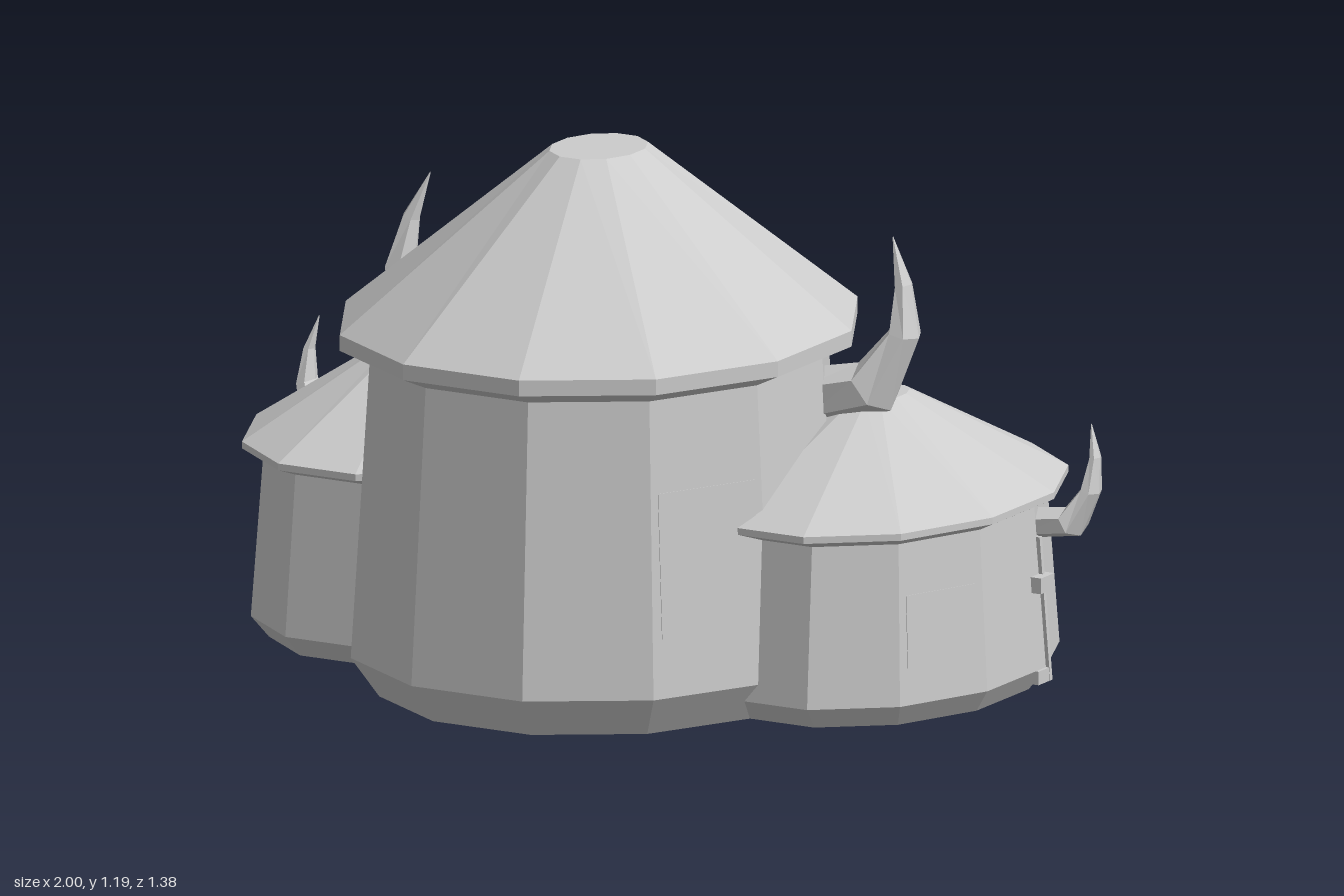
import * as THREE from 'three';

const stone = new THREE.MeshStandardMaterial({ color: 0xcccccc, flatShading: true, side: THREE.DoubleSide });
stone.name = 'plain grey';

function part(name, geometry, x = 0, y = 0, z = 0) {
  const m = new THREE.Mesh(geometry, stone);
  m.name = name;
  m.position.set(x, y, z);
  return m;
}
const box = (name, w, h, d, x, y, z) => part(name, new THREE.BoxGeometry(w, h, d), x, y, z);

// Turned shape with flat sides; radii are measured to the flat of each side.
function turned(name, profile, sides = 12) {
  const k = 1 / Math.cos(Math.PI / sides);
  const pts = profile.map(([r, y]) => new THREE.Vector2(r * k, y));
  return part(name, new THREE.LatheGeometry(pts, sides, Math.PI / sides));
}

// Oval hut, open below: tapered wall on a chamfered base, and a wide conical roof.
function hut(name, x, z, squash, wall, roof) {
  const g = new THREE.Group();
  g.name = name;
  g.position.set(x, 0, z);
  g.scale.x = squash;
  const top = turned('roof', roof);
  // The flat tip is a narrower oval than the eaves
  const p = top.geometry.attributes.position, peak = roof[roof.length - 1][1];
  for (let i = 0; i < p.count; i++) if (p.getY(i) > peak - 0.001) p.setX(i, p.getX(i) * 0.87);
  g.add(turned('wall', wall), top);
  return g;
}

// Thin panel lying on the sloped wall facet at the given angle.
function wallPanel(w, h, apothem, y, angle, slope) {
  const p = box('wallPanel', w, h, 0.01, Math.sin(angle) * apothem, y, Math.cos(angle) * apothem);
  p.rotation.set(-slope, angle, 0, 'YXZ');
  return p;
}

// Horn lofted through rings [x, y, z, radius in plane, radius along z], ending in a point.
function horn(rings, sides = 6) {
  const pos = [], idx = [];
  rings.forEach(([x, y, z, r, rz], i) => {
    const a = rings[Math.max(i - 1, 0)], b = rings[Math.min(i + 1, rings.length - 1)];
    const t = Math.atan2(b[1] - a[1], b[0] - a[0]);
    for (let j = 0; j < sides; j++) {
      const q = (j / sides) * Math.PI * 2;
      pos.push(x - Math.sin(t) * Math.cos(q) * r, y + Math.cos(t) * Math.cos(q) * r, z + Math.sin(q) * rz);
    }
  });
  for (let i = 0; i < rings.length - 1; i++) {
    for (let j = 0; j < sides; j++) {
      const a = i * sides + j, b = i * sides + ((j + 1) % sides);
      idx.push(a, b, a + sides, b, b + sides, a + sides);
    }
  }
  const g = new THREE.BufferGeometry();
  g.setAttribute('position', new THREE.Float32BufferAttribute(pos, 3));
  g.setIndex(idx);
  g.computeVertexNormals();
  return g;
}

export function createModel() {
  const model = new THREE.Group();
  model.name = 'hutCluster';
  const cx = 0.025, sideX = 0.56, sideZ = -0.185;

  // Main hut
  const main = hut('mainHut', cx, 0.1, 0.915,
    [[0.5, 0], [0.565, 0.09], [0.522, 0.745]],
    [[0.522, 0.745], [0.59, 0.775], [0.59, 0.81], [0.122, 1.187], [0, 1.187]]);
  main.add(wallPanel(0.25, 0.32, 0.543, 0.38, Math.PI / 3, 0.065));
  model.add(main);

  const bigHorn = horn([
    [0.44, 0.645, -0.1, 0.065, 0.08], [0.57, 0.68, -0.106, 0.063, 0.078],
    [0.63, 0.8, -0.132, 0.036, 0.044], [0.615, 0.9, -0.152, 0.02, 0.024], [0.578, 1.0, -0.17, 0.001, 0.001]]);
  const smallHorn = horn([
    [0.28, 0.355, -0.17, 0.033, 0.06], [0.385, 0.37, -0.172, 0.035, 0.058],
    [0.42, 0.44, -0.188, 0.021, 0.034], [0.422, 0.51, -0.202, 0.012, 0.018], [0.405, 0.58, -0.215, 0.001, 0.001]]);

  for (const s of [-1, 1]) {
    const mainHorn = part('mainHorn', bigHorn, cx);
    mainHorn.scale.x = s;
    model.add(mainHorn);

    // Side hut
    const side = hut('sideHut', s * sideX, sideZ, 0.735,
      [[0.42, 0], [0.467, 0.05], [0.435, 0.405]],
      [[0.435, 0.405], [0.49, 0.425], [0.49, 0.44], [0.085, 0.645], [0, 0.645]]);
    if (s > 0) side.add(wallPanel(0.2, 0.16, 0.451, 0.21, Math.PI / 3, 0.09));
    model.add(side);

    // Horns on both flanks; the inner one is turned towards the doorway
    for (const f of [-1, 1]) {
      const sideHorn = part('sideHorn', smallHorn, s * sideX, 0, sideZ);
      sideHorn.scale.x = f;
      if (f !== s) sideHorn.rotation.y = f * 0.2;
      model.add(sideHorn);
    }

    // Post hanging under the outer horn
    const post = box('hornPost', 0.012, 0.32, 0.01, s * 0.897, 0.18, -0.312);
    post.rotation.set(0.04, 0, s * 0.06);
    model.add(post,
      box('postClasp', 0.03, 0.035, 0.058, s * 0.9, 0.24, -0.298),
      box('postFoot', 0.035, 0.03, 0.05, s * 0.893, 0.035, -0.292));

    // Shutters on the back of the side hut
    for (const x of [0.47, 0.65]) model.add(box('shutter', 0.1, 0.13, 0.045, s * x, 0.235, -0.617));

    // Sloping rails beside the doorway
    const rail = box('doorRail', 0.04, 0.05, 0.335, cx - 0.03 + s * 0.19, 0.156, -0.555);
    rail.rotation.x = -0.764;
    model.add(rail);
  }

  // Arched door with a raised inner panel
  const doorShape = (w, h, c) => new THREE.Shape([[-w, 0], [w, 0], [w, h - c], [w - c, h], [c - w, h], [-w, h - c]]
    .map(([x, y]) => new THREE.Vector2(x, y)));
  const slab = (w, h, c, d) => new THREE.ExtrudeGeometry(doorShape(w, h, c), { depth: d, bevelEnabled: false });
  model.add(part('doorFrame', slab(0.16, 0.44, 0.08, 0.08), cx, 0, -0.5),
    part('doorPanel', slab(0.12, 0.38, 0.06, 0.03), cx, 0.02, -0.515),
    box('doorHandle', 0.03, 0.04, 0.02, 0.07, 0.21, -0.525),
    box('doorStep', 0.41, 0.035, 0.17, 0.04, 0.03, -0.515));

  // Round sign with a raised cross
  const sign = part('signDisc', new THREE.CylinderGeometry(0.183, 0.183, 0.05, 12), cx, 0.598, -0.48);
  sign.rotation.set(Math.PI / 2, Math.PI / 12, 0);
  model.add(sign, box('crossUpright', 0.07, 0.215, 0.03, cx, 0.598, -0.512));
  for (const s of [-1, 1]) model.add(box('crossArm', 0.0725, 0.07, 0.03, cx + s * 0.07125, 0.598, -0.512));

  // Lidded pot by the door
  const pot = turned('pot', [[0, 0], [0.04, 0], [0.064, 0.04], [0.052, 0.085], [0.035, 0.095],
    [0.045, 0.11], [0.02, 0.14], [0, 0.14]], 8);
  pot.position.set(-0.22, 0.01, -0.57);
  model.add(pot);

  return model;
}
